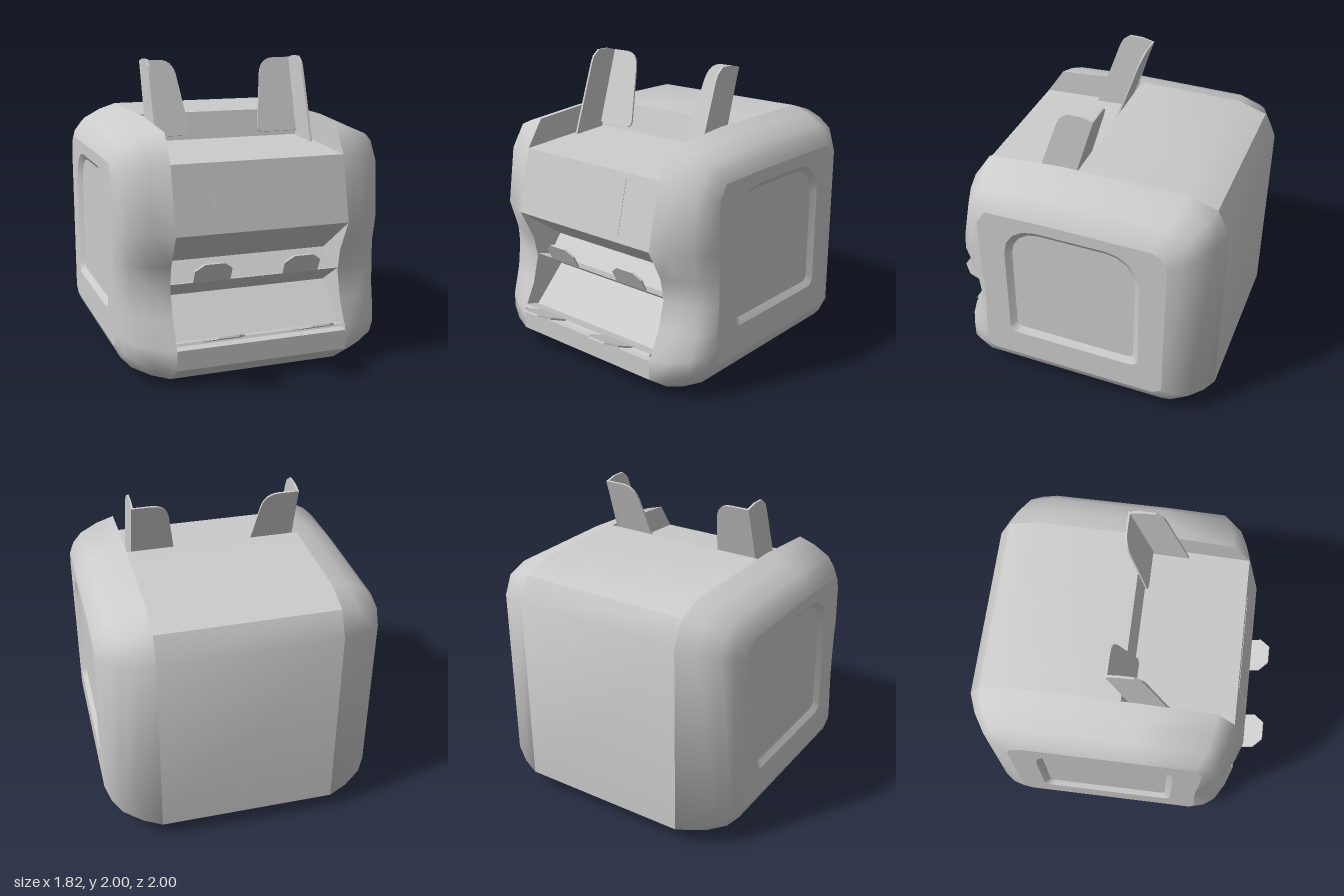
import * as THREE from 'three';
import { toCreasedNormals } from 'three/addons/utils/BufferGeometryUtils.js';

const grey = new THREE.MeshStandardMaterial({ color: 0xcccccc });
const greyDouble = new THREE.MeshStandardMaterial({ color: 0xcccccc, side: THREE.DoubleSide });

function part(name, geometry, material = grey) {
  const mesh = new THREE.Mesh(geometry, material);
  mesh.name = name;
  return mesh;
}

const shapeOf = (pts) => new THREE.Shape(pts.map(([a, b]) => new THREE.Vector2(a, b)));
const flip = (pts) => pts.map(([z, y]) => [-z, y]);

// Extrude a (z, y) profile along x, centred on x = 0
function extrudeX(pts, width) {
  const g = new THREE.ExtrudeGeometry(shapeOf(pts), { depth: width, bevelEnabled: false });
  return g.translate(0, 0, -width / 2).rotateY(-Math.PI / 2);
}

// Skin between (z, y) rings, each with its own x
function loft(rings) {
  const pos = [], idx = [], n = rings[0].pts.length;
  rings.forEach(({ x, pts }) => pts.forEach(([z, y]) => pos.push(x, y, z)));
  for (let i = 0; i < rings.length - 1; i++) {
    for (let j = 0; j < n; j++) {
      const k = (j + 1) % n;
      const a = i * n + j, b = i * n + k, d = a + n, c = b + n;
      idx.push(a, d, c, a, c, b);
    }
  }
  const g = new THREE.BufferGeometry();
  g.setAttribute('position', new THREE.Float32BufferAttribute(pos, 3));
  g.setIndex(idx);
  g.computeVertexNormals();
  return g;
}

// Rounded rectangle in (z, y) with large top and small bottom corners
function panelOutline(z0, z1, y0, y1, rTop, rBottom) {
  const pts = [];
  const corners = [[z1 - rBottom, y0 + rBottom, rBottom, -90], [z1 - rTop, y1 - rTop, rTop, 0],
    [z0 + rTop, y1 - rTop, rTop, 90], [z0 + rBottom, y0 + rBottom, rBottom, 180]];
  for (const [z, y, r, start] of corners) {
    for (let i = 0; i <= 4; i++) {
      const t = THREE.MathUtils.degToRad(start + i * 22.5);
      pts.push([z + r * Math.cos(t), y + r * Math.sin(t)]);
    }
  }
  return pts;
}

// Side profile next to the centre, and the matching flat side outline
const inner = [[0.64, 0], [0.81, 0.12], [0.81, 0.25], [0.72, 0.43], [0.67, 0.62], [0.7, 0.77],
  [0.81, 0.98], [0.71, 1.41], [0.59, 1.59], [0.1, 1.63], [-0.73, 1.63], [-0.92, 1.57],
  [-1, 1.41], [-1, 0.12], [-0.83, 0]];
const outer = [[0.5, 0.22], [0.54, 0.25], [0.54, 0.32], [0.54, 0.45], [0.53, 0.62], [0.53, 0.77],
  [0.54, 0.98], [0.54, 1.3], [0.48, 1.4], [0.1, 1.41], [-0.62, 1.41], [-0.69, 1.38],
  [-0.72, 1.3], [-0.72, 0.26], [-0.66, 0.22]];

// One rounded side of the housing with its recessed panel
function sideHousing() {
  const g = new THREE.Group();
  const steps = [[0.58, 0], [0.7, 0.16], [0.82, 0.42], [0.88, 0.7], [0.91, 1]];
  const rings = steps.map(([x, t]) => ({
    x,
    pts: inner.map(([z, y], i) => [z + (outer[i][0] - z) * t, y + (outer[i][1] - y) * t]),
  }));
  g.add(part('sideShell', toCreasedNormals(loft(rings), 0.95)));

  const innerWall = new THREE.ShapeGeometry(shapeOf(inner)).rotateY(-Math.PI / 2);
  g.add(part('innerWall', innerWall.translate(0.58, 0, 0)));

  const rim = panelOutline(-0.55, 0.36, 0.42, 1.33, 0.22, 0.06);
  const floor = panelOutline(-0.51, 0.32, 0.46, 1.29, 0.19, 0.04);
  const face = shapeOf(flip(outer));
  face.holes.push(shapeOf(flip(rim)));
  g.add(part('sideFace', new THREE.ShapeGeometry(face).rotateY(Math.PI / 2).translate(0.91, 0, 0)));
  g.add(part('recessEdge', toCreasedNormals(loft([{ x: 0.91, pts: rim }, { x: 0.88, pts: floor }]), 0.5)));
  const panel = new THREE.ShapeGeometry(shapeOf(flip(floor))).rotateY(Math.PI / 2);
  g.add(part('sidePanel', panel.translate(0.88, 0, 0)));
  return g;
}

// Thin chamfered finger running from one (z, y) point to another
function finger(x, from, to, chamfer) {
  const dz = to[0] - from[0], dy = to[1] - from[1], len = Math.hypot(dz, dy), w = 0.125;
  const s = shapeOf([[-w, 0], [w, 0], [w, len - chamfer], [w - 0.06, len], [-w + 0.06, len], [-w, len - chamfer]]);
  const g = new THREE.ExtrudeGeometry(s, { depth: 0.012, bevelEnabled: false });
  return g.translate(0, 0, -0.006).rotateX(Math.atan2(dz, dy)).translate(x, from[1], from[0]);
}

// L-shaped guide leaning back over the feed tray
function feedGuide() {
  const g = new THREE.Group();
  const s = new THREE.Shape();
  s.moveTo(0.55, 0);
  s.lineTo(0.285, 0);
  s.quadraticCurveTo(0.245, 0, 0.25, 0.05);
  s.lineTo(0.305, 0.42);
  s.quadraticCurveTo(0.325, 0.524, 0.42, 0.524);
  s.lineTo(0.55, 0.524);
  const plate = new THREE.ExtrudeGeometry(s, { depth: 0.012, bevelEnabled: false, curveSegments: 6 });
  g.add(part('guidePlate', plate.rotateX(-0.305).translate(0, 1.48, 0.045), greyDouble));
  const flange = extrudeX([[0.05, 1.44], [0.3, 1.43], [0.13, 1.92], [0.11, 1.96], [0.06, 2],
    [-0.03, 2], [-0.11, 1.98]], 0.015);
  g.add(part('guideFlange', flange.translate(0.543, 0, 0), greyDouble));
  return g;
}

export function createModel() {
  const model = new THREE.Group();
  model.name = 'countingMachine';

  // Centre body with two delivery pockets and the feed tray on top
  const core = [[0.64, 0], [0.81, 0.12], [0.81, 0.25], [0.7, 0.25], [0.45, 0.5], [0.67, 0.64],
    [0.55, 0.605], [0.45, 0.73], [0.81, 0.98], [0.71, 1.41], [0.03, 1.45], [-0.02, 1.63],
    [-0.73, 1.63], [-0.92, 1.57], [-1, 1.41], [-1, 0.12], [-0.83, 0]];
  model.add(part('centreBody', toCreasedNormals(extrudeX(core, 1.16), 0.5)));

  // Display set on the sloped front
  const display = new THREE.BoxGeometry(0.64, 0.364, 0.01);
  display.rotateX(-Math.atan2(0.1, 0.43)).translate(0, 1.198, 0.757);
  model.add(part('display', display));

  // Lip at the front of the lower pocket
  model.add(part('lowerTray', extrudeX([[0.69, 0.25], [0.81, 0.28], [0.8, 0.297], [0.69, 0.265]], 1.16)));

  // Mirrored parts
  for (const side of [1, -1]) {
    const half = new THREE.Group();
    half.name = side > 0 ? 'leftSide' : 'rightSide';
    const housing = sideHousing();
    housing.name = 'sideHousing';
    const guide = feedGuide();
    guide.name = 'feedGuide';
    half.add(housing, guide);
    half.add(part('lowerFinger', finger(0.305, [0.78, 0.285], [0.998, 0.38], 0.07)));
    half.add(part('upperFinger', finger(0.305, [0.665, 0.64], [0.73, 0.77], 0.05)));
    half.scale.x = side;
    model.add(half);
  }
  return model;
}
